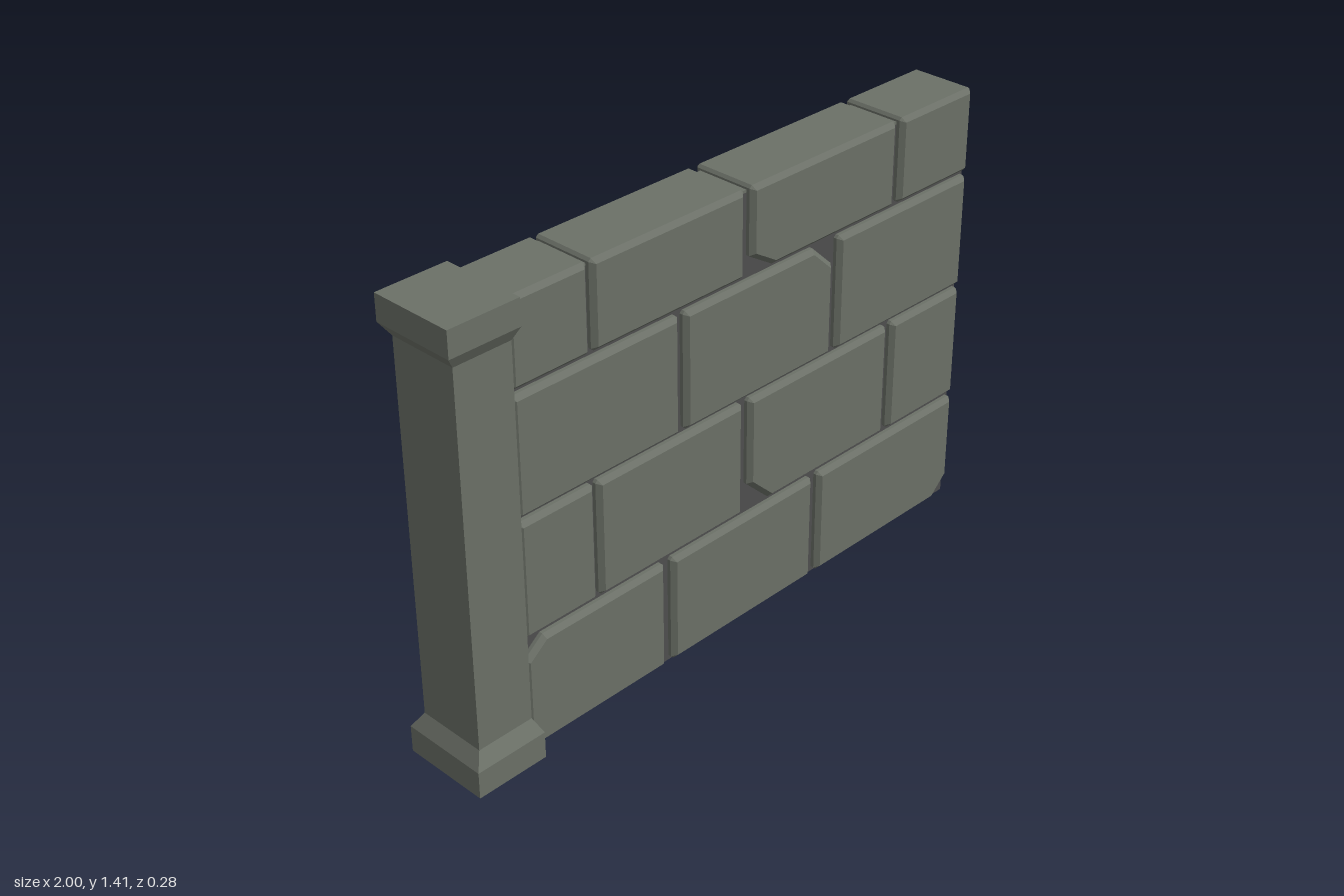
import * as THREE from 'three';

const stone = new THREE.MeshStandardMaterial({ color: 0x6b7067 });
stone.name = 'greenStone';
const mortar = new THREE.MeshStandardMaterial({ color: 0x4f4f4f });
mortar.name = 'greyMortar';

const BEVEL = 0.014, FRONT = 0.11, INNER = -0.03;

// Brick outline with optional chipped corners: cuts = { bl, br, tr, tl }, each [dx, dy]
function brickShape(x0, x1, y0, y1, cuts) {
  const r = [0.008, 0.008];
  const { bl = r, br = r, tr = r, tl = r } = cuts;
  return new THREE.Shape([
    [x0 + bl[0], y0], [x1 - br[0], y0], [x1, y0 + br[1]], [x1, y1 - tr[1]],
    [x1 - tr[0], y1], [x0 + tl[0], y1], [x0, y1 - tl[1]], [x0, y0 + bl[1]],
  ].map(([x, y]) => new THREE.Vector2(x, y)));
}

// Bevelled half brick facing +z
function brickGeometry(x0, x1, y0, y1, cuts = {}) {
  const geo = new THREE.ExtrudeGeometry(brickShape(x0, x1, y0, y1, cuts), {
    depth: FRONT - INNER - 2 * BEVEL, bevelEnabled: true, bevelSegments: 1,
    bevelSize: BEVEL, bevelThickness: BEVEL, bevelOffset: -BEVEL,
  });
  return geo.translate(0, 0, INNER + BEVEL);
}

// Flat-sided column through rectangular sections [y, x0, x1, halfDepth]
function columnGeometry(sections) {
  const pos = [];
  const quad = (a, b, c, d) => pos.push(...a, ...b, ...c, ...a, ...c, ...d);
  const rings = sections.map(([y, x0, x1, z]) => [[x0, y, z], [x1, y, z], [x1, y, -z], [x0, y, -z]]);
  for (let i = 0; i < rings.length - 1; i++) {
    const a = rings[i], b = rings[i + 1];
    for (let k = 0; k < 4; k++) {
      const n = (k + 1) % 4;
      quad(a[k], a[n], b[n], b[k]);
    }
  }
  const lo = rings[0], hi = rings[rings.length - 1];
  quad(lo[3], lo[2], lo[1], lo[0]);
  quad(hi[0], hi[1], hi[2], hi[3]);
  const geo = new THREE.BufferGeometry();
  geo.setAttribute('position', new THREE.Float32BufferAttribute(pos, 3));
  geo.computeVertexNormals();
  return geo;
}

export function createModel() {
  const wall = new THREE.Group();
  wall.name = 'brickWall';
  const add = (name, geo, mat, parent = wall) => {
    const mesh = new THREE.Mesh(geo, mat);
    mesh.name = name;
    parent.add(mesh);
    return mesh;
  };

  // Mortar core and the stone bed on its top
  add('mortarCore', new THREE.BoxGeometry(1.82, 1.375, 0.17).translate(0.09, 0.6975, 0), mortar);
  add('topBed', new THREE.BoxGeometry(1.81, 0.008, 0.17).translate(0.085, 1.389, 0), stone);

  // End pillar with flared foot and cap
  add('pillar', columnGeometry([
    [0, -1, -0.765, 0.14], [0.085, -1, -0.765, 0.14],
    [0.13, -0.97, -0.785, 0.112], [1.295, -0.97, -0.785, 0.112],
    [1.335, -0.997, -0.77, 0.134], [1.415, -0.997, -0.77, 0.134],
  ]), stone);

  // Courses from the bottom up; chips are [brick index, corner cuts] on the front only
  const L = -0.79, R = 0.997;
  const odd = [[L, -0.525], [-0.513, 0.042], [0.068, 0.66], [0.682, R]];
  const courses = [
    { y: [0.018, 0.37], x: [[L, -0.268], [-0.24, 0.345], [0.372, R]],
      chips: { 0: { tl: [0.07, 0.055] }, 2: { br: [0.07, 0.065] } } },
    { y: [0.388, 0.755], x: odd, chips: { 2: { bl: [0.09, 0.085] } } },
    { y: [0.768, 1.13], x: [[L, -0.205], [-0.185, 0.405], [0.428, R]],
      chips: { 1: { tr: [0.08, 0.075] } } },
    { y: [1.145, 1.407], x: odd, chips: { 2: { bl: [0.09, 0.055] } } },
  ];
  courses.forEach(({ y, x, chips }, row) => {
    const course = new THREE.Group();
    course.name = `course${row + 1}`;
    wall.add(course);
    x.forEach(([x0, x1], i) => {
      add('frontBrick', brickGeometry(x0, x1, y[0], y[1], chips[i]), stone, course);
      // Back bricks follow the same joints, turned to face -z
      const back = brickGeometry(-x1, -x0, y[0], y[1]).rotateY(Math.PI);
      add('backBrick', back, stone, course);
    });
  });
  return wall;
}
